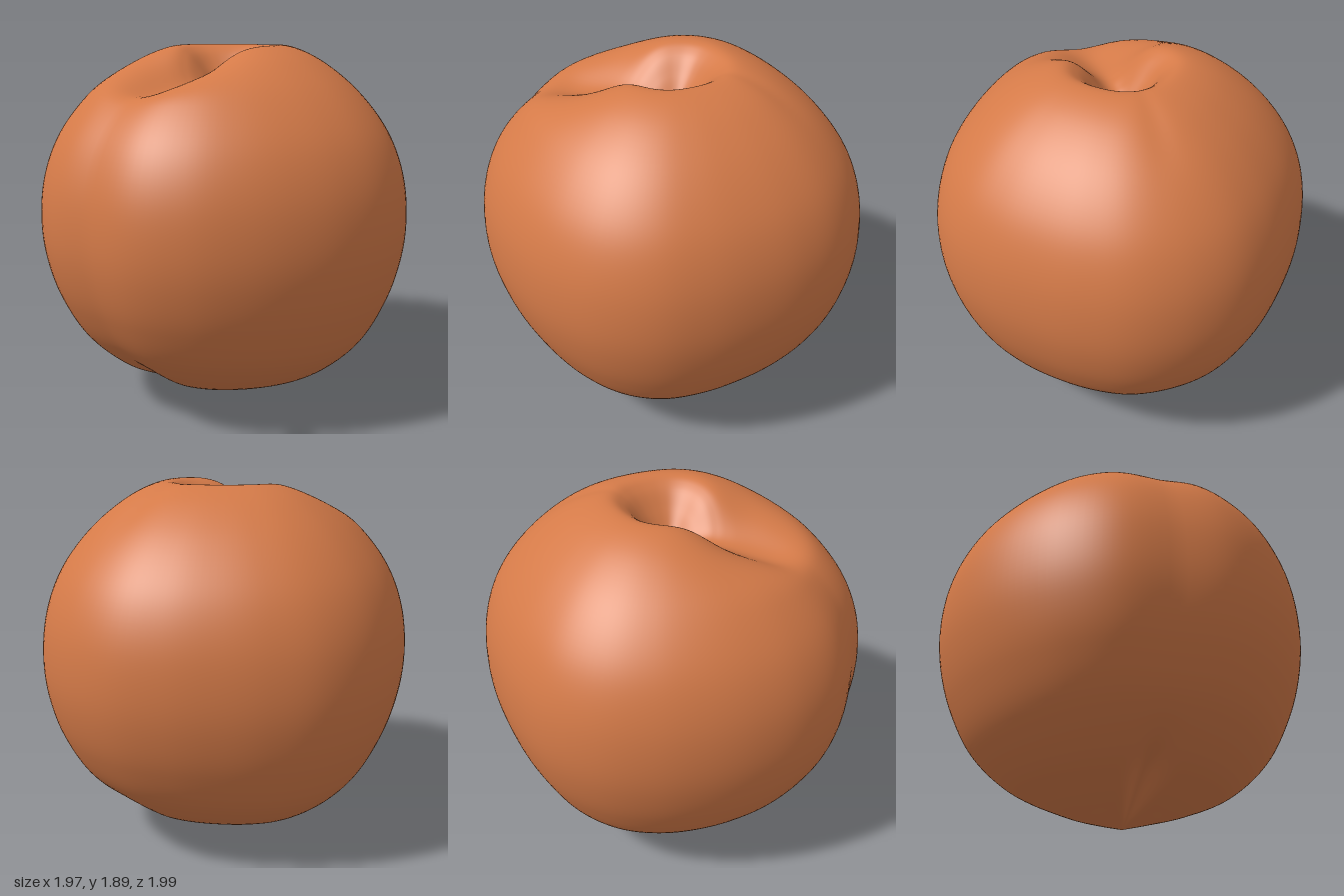
import * as THREE from 'three';

const RINGS = 120, SEGS = 144;
const vec = ([x, y]) => new THREE.Vector2(x, y);
const gauss = (v, centre, width) => Math.exp(-(((v - centre) / width) ** 2));

// Profile from the pointed base up over the shoulder and into the stem dimple
const profile = new THREE.SplineCurve([
  [0, 0], [0.2, 0.055], [0.4, 0.115], [0.61, 0.208], [0.795, 0.375], [0.913, 0.59],
  [0.978, 0.8], [1, 1.0], [0.98, 1.21], [0.915, 1.4], [0.81, 1.56], [0.66, 1.71],
  [0.48, 1.83], [0.315, 1.885], [0.22, 1.85], [0.135, 1.755], [0.06, 1.655], [0, 1.6],
].map(vec));

// Outline seen from above: radius every 15 degrees, from the front round to the back
const outline = new THREE.SplineCurve(
  [0.988, 1.012, 0.998, 0.975, 0.966, 0.974, 0.986, 0.98, 0.955, 0.945, 0.963, 0.992, 1]
    .map((r, i) => new THREE.Vector2(i, r)));

function surfacePoint(p, angle) {
  const a = Math.abs(angle);                    // 0 at the front, PI at the back
  const upper = THREE.MathUtils.smoothstep(p.y, 0.9, 1.4);
  const lower = 1 - THREE.MathUtils.smoothstep(p.y, 0.35, 1.0);
  let y = p.y;

  // Front cleft: the dimple's rim sinks towards the front
  const cleft = THREE.MathUtils.smoothstep(p.x, 0, 0.3)
    * (1 - THREE.MathUtils.smoothstep(p.x, 0.3, 0.74));
  y -= 0.205 * upper * cleft * gauss(a, 0, 0.68);
  // Narrow furrow running on from the cleft, and a faint crease down the back
  y -= 0.06 * upper * gauss(p.x, 0.56, 0.17) * gauss(a, 0, 0.27);
  y -= 0.008 * upper * gauss(p.x, 0.5, 0.2) * gauss(a, Math.PI, 0.12);

  // Underside: rounder towards front and back, with a groove at each
  const ends = Math.cos(angle) ** 2;
  y += 0.035 * lower * ends * gauss(p.x, 0.75, 0.28);
  const groove = gauss(a, 0, 0.17) + gauss(a, Math.PI, 0.17);
  y += 0.075 * lower * groove * gauss(p.x, 0.4, 0.24) * Math.min(1, p.x / 0.15);

  const r = p.x * outline.getPoint(a / Math.PI).y;
  return [r * Math.sin(angle), y, r * Math.cos(angle)];
}

function fruitGeometry() {
  const positions = [0, 0, 0], index = [];
  for (let i = 1; i < RINGS; i++) {
    const p = profile.getPoint(i / RINGS);
    for (let j = 0; j < SEGS; j++) {
      positions.push(...surfacePoint(p, (j / SEGS) * Math.PI * 2 - Math.PI));
    }
  }
  positions.push(0, 1.6, 0);
  const top = positions.length / 3 - 1;
  const at = (i, j) => 1 + (i - 1) * SEGS + (j % SEGS);
  for (let j = 0; j < SEGS; j++) {
    index.push(0, at(1, j + 1), at(1, j));
    for (let i = 1; i < RINGS - 1; i++) {
      const a = at(i, j), b = at(i, j + 1), c = at(i + 1, j + 1), d = at(i + 1, j);
      index.push(a, b, c, a, c, d);
    }
    index.push(at(RINGS - 1, j), at(RINGS - 1, j + 1), top);
  }
  const geometry = new THREE.BufferGeometry();
  geometry.setAttribute('position', new THREE.Float32BufferAttribute(positions, 3));
  geometry.setIndex(index);
  geometry.computeVertexNormals();
  return geometry;
}

export function createModel() {
  const group = new THREE.Group();
  group.name = 'peach';
  const skin = new THREE.MeshStandardMaterial({ color: 0xd47a48 });
  skin.name = 'peach skin';
  const fruit = new THREE.Mesh(fruitGeometry(), skin);
  fruit.name = 'fruit';
  group.add(fruit);
  return group;
}
